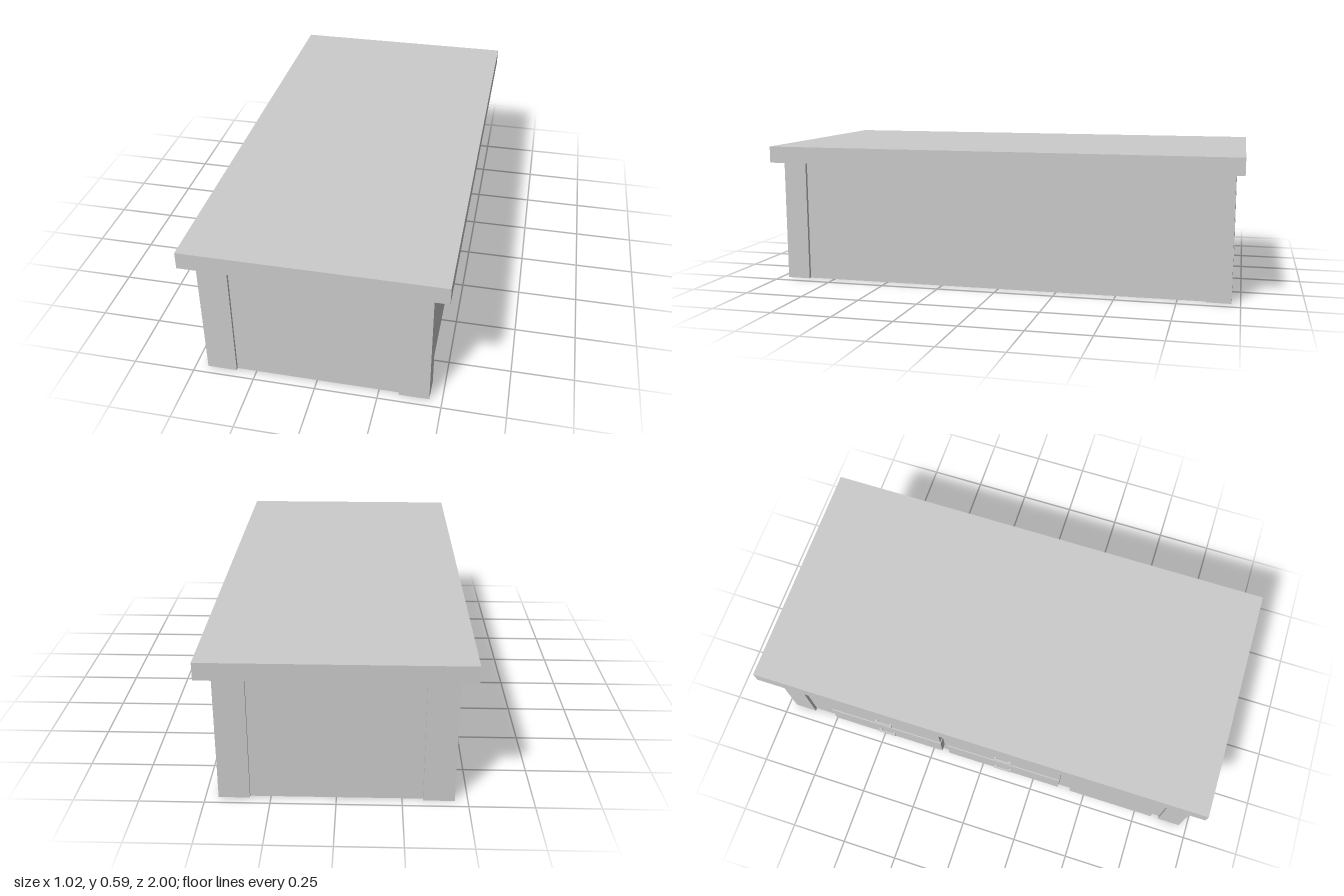
import * as THREE from 'three';

const grey = new THREE.MeshStandardMaterial({ color: 0xcccccc, flatShading: true });

// Box given by its lower and upper limits on each axis
function box(name, [x0, x1], [y0, y1], [z0, z1]) {
  const mesh = new THREE.Mesh(new THREE.BoxGeometry(x1 - x0, y1 - y0, z1 - z0), grey);
  mesh.position.set((x0 + x1) / 2, (y0 + y1) / 2, (z0 + z1) / 2);
  mesh.name = name;
  return mesh;
}

// Small bar pull standing on two feet
function handle(y, z) {
  const group = new THREE.Group();
  group.name = 'drawerHandle';
  group.add(box('handleBar', [-0.481, -0.475], [y - 0.0055, y + 0.0055], [z - 0.04, z + 0.04]));
  for (const s of [-1, 1]) {
    const c = z + s * 0.034;
    group.add(box('handleFoot', [-0.475, -0.466], [y - 0.0055, y + 0.0055], [c - 0.006, c + 0.006]));
  }
  return group;
}

export function createModel() {
  const model = new THREE.Group();
  model.name = 'kitchenIsland';

  // Overhanging top and recessed body
  model.add(box('countertop', [-0.51, 0.51], [0.52, 0.59], [-1, 1]));
  model.add(box('cabinetBody', [-0.436, 0.436], [0, 0.52], [-0.953, 0.953]));

  // Corner posts, slightly proud of the body
  for (const sx of [-1, 1]) {
    for (const sz of [-1, 1]) {
      const post = box('cornerPost', [-0.06, 0.06], [0, 0.52], [-0.05, 0.05]);
      post.position.x = sx * 0.39;
      post.position.z = sz * 0.915;
      model.add(post);
    }
  }

  // Two columns of three drawers on the right side
  for (const [z0, z1] of [[-0.73, -0.195], [-0.16, 0.375]]) {
    for (let row = 0; row < 3; row++) {
      const y = 0.085 + row * 0.145;
      model.add(box('drawerFront', [-0.468, -0.43], [y, y + 0.122], [z0, z1]));
      model.add(handle(y + 0.053, (z0 + z1) / 2));
    }
  }

  // Plain cupboard door beside the drawers
  model.add(box('cupboardDoor', [-0.468, -0.43], [0.085, 0.497], [0.43, 0.82]));

  return model;
}
